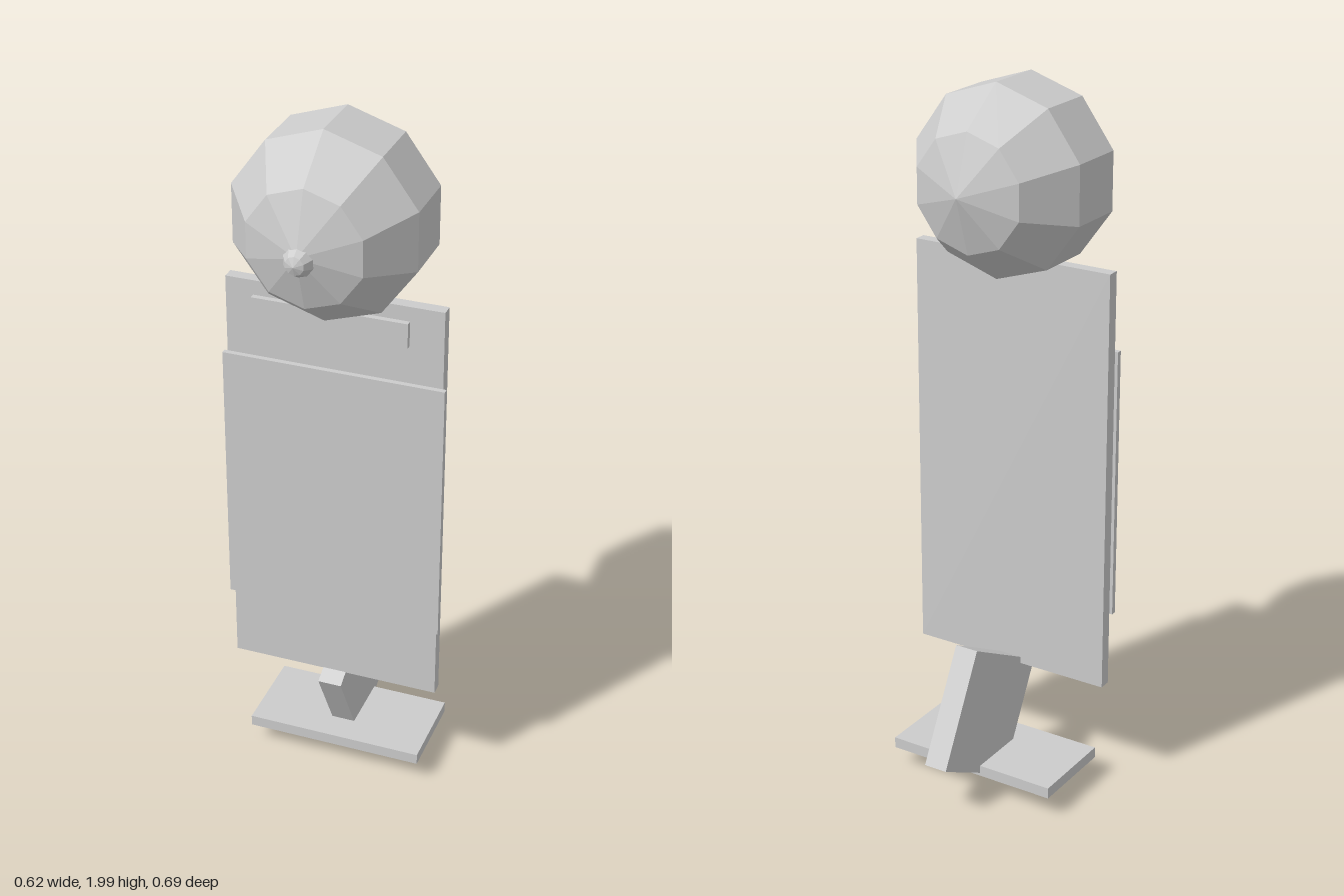
import * as THREE from 'three';

export function createModel() {
  const model = new THREE.Group();
  const grey = new THREE.MeshStandardMaterial({ color: 0xcccccc });
  grey.name = 'grey';
  grey.flatShading = true;

  function add(name, geometry, x, y, z) {
    const mesh = new THREE.Mesh(geometry, grey);
    mesh.name = name;
    mesh.position.set(x, y, z);
    model.add(mesh);
    return mesh;
  }

  // Box given by its width and its y and z limits, centred on x = 0
  function slab(name, width, y0, y1, z0, z1) {
    return add(name, new THREE.BoxGeometry(width, y1 - y0, z1 - z0), 0, (y0 + y1) / 2, (z0 + z1) / 2);
  }

  // Low-poly ball with its poles facing front and back, and a corner on top
  function ball(name, radius, depth, y, z) {
    const g = new THREE.SphereGeometry(radius, 10, 5);
    g.rotateY(Math.PI / 2).rotateX(Math.PI / 2).scale(1, 1, depth / radius);
    return add(name, g, 0, y, z);
  }

  // Head and nose
  ball('head', 0.273, 0.273, 1.74, 0.0535);
  ball('nose', 0.043, 0.05, 1.725, 0.298);

  // Flat body, front panel and collar
  slab('body', 0.6, 0.325, 1.525, 0.039, 0.073);
  slab('frontPanel', 0.618, 0.54, 1.305, 0.073, 0.088);
  slab('collar', 0.428, 1.425, 1.495, 0.094, 0.11);

  // Tilted leg block and foot plate
  const leg = add('leg', new THREE.BoxGeometry(0.068, 0.339, 0.339), 0, 0.235, -0.116);
  leg.rotation.x = 0.49;
  slab('foot', 0.513, 0.064, 0.096, -0.173, 0.085);

  return model;
}
